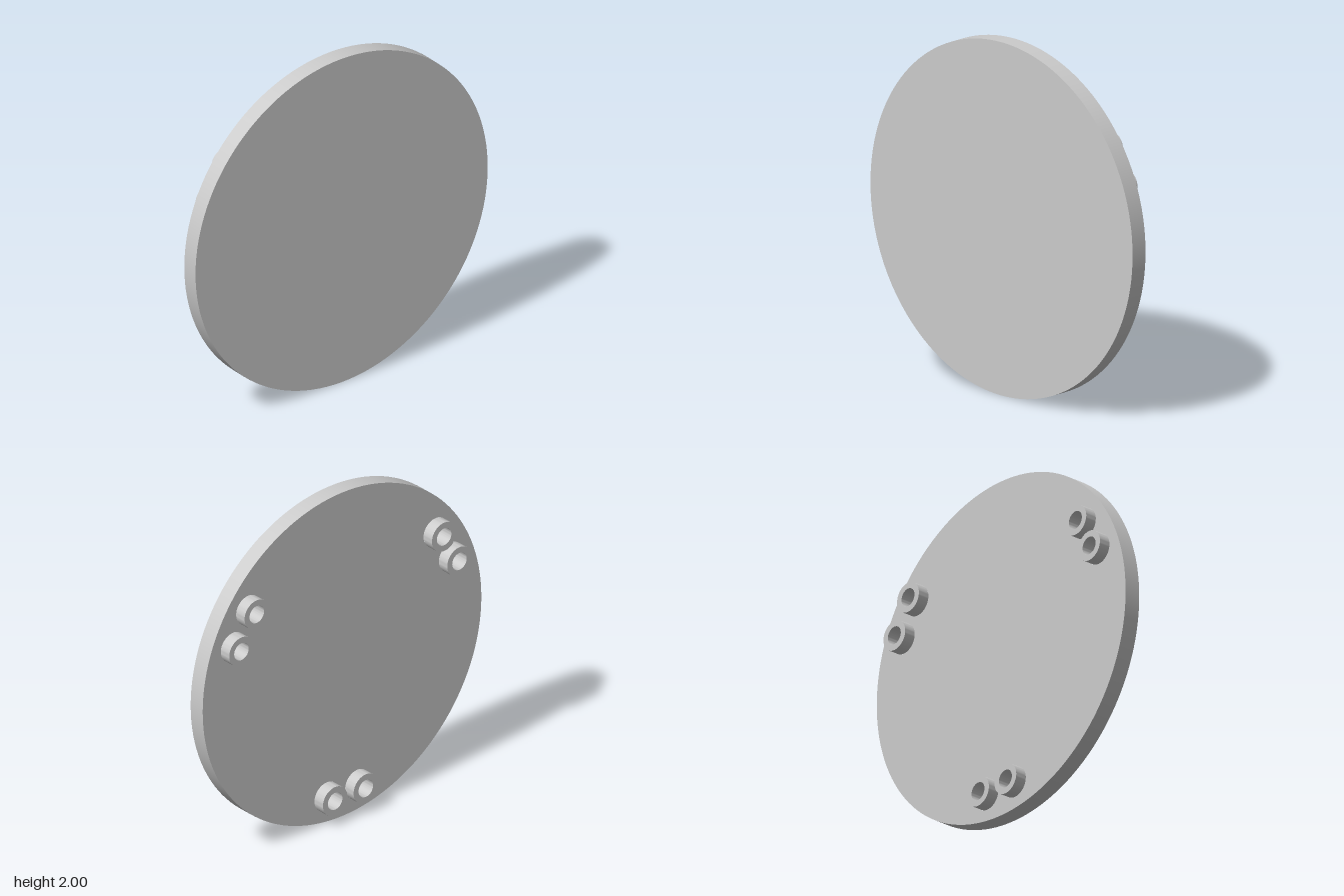
import * as THREE from 'three';
import { toCreasedNormals } from 'three/addons/utils/BufferGeometryUtils.js';

const FRONT = 0.085, BACK = -0.015;   // disc faces along z
const BOSS_R = 0.0875, BORE_R = 0.052, BOSS_H = 0.07, BORE_DEPTH = 0.13;
const SEGMENTS = 128;

export function createModel() {
  const model = new THREE.Group();
  model.name = 'mountingDisc';
  const material = new THREE.MeshStandardMaterial({ color: 0xcccccc });

  const add = (name, geometry, x, y, z) => {
    const mesh = new THREE.Mesh(geometry, material);
    mesh.name = name;
    mesh.position.set(x, y, z);
    model.add(mesh);
  };

  // Three pairs of boss centres, 120 degrees apart, measured from the disc centre
  const centres = [];
  for (let i = 0; i < 3; i++) {
    for (const side of [-1, 1]) {
      centres.push(new THREE.Vector2(side * 0.11, -0.84)
        .rotateAround(new THREE.Vector2(), i * Math.PI * 2 / 3));
    }
  }

  // Disc: plain front, smooth rim, back face opened under each boss
  add('discFront', new THREE.CircleGeometry(1, SEGMENTS), 0, 1, FRONT);

  const rim = new THREE.CylinderGeometry(1, 1, FRONT - BACK, SEGMENTS, 1, true);
  rim.rotateX(Math.PI / 2);
  add('discRim', rim, 0, 1, (FRONT + BACK) / 2);

  const backShape = new THREE.Shape().absarc(0, 0, 1, 0, Math.PI * 2);
  for (const c of centres) {
    backShape.holes.push(new THREE.Path().absarc(c.x, c.y, BOSS_R, 0, Math.PI * 2, true));
  }
  const back = new THREE.ShapeGeometry(backShape, SEGMENTS / 2);
  back.rotateY(Math.PI);
  add('discBack', back, 0, 1, BACK);

  // Ring boss with a blind bore running on into the disc
  const profile = [
    [BOSS_R, 0], [BOSS_R, BOSS_H], [BORE_R, BOSS_H],
    [BORE_R, BOSS_H - BORE_DEPTH], [0, BOSS_H - BORE_DEPTH],
  ].map(([r, h]) => new THREE.Vector2(r, h));
  const boss = toCreasedNormals(new THREE.LatheGeometry(profile, 64), 0.6);
  boss.rotateX(-Math.PI / 2);
  centres.forEach((c, i) => add(`boss${i + 1}`, boss, c.x, 1 + c.y, BACK));

  return model;
}
